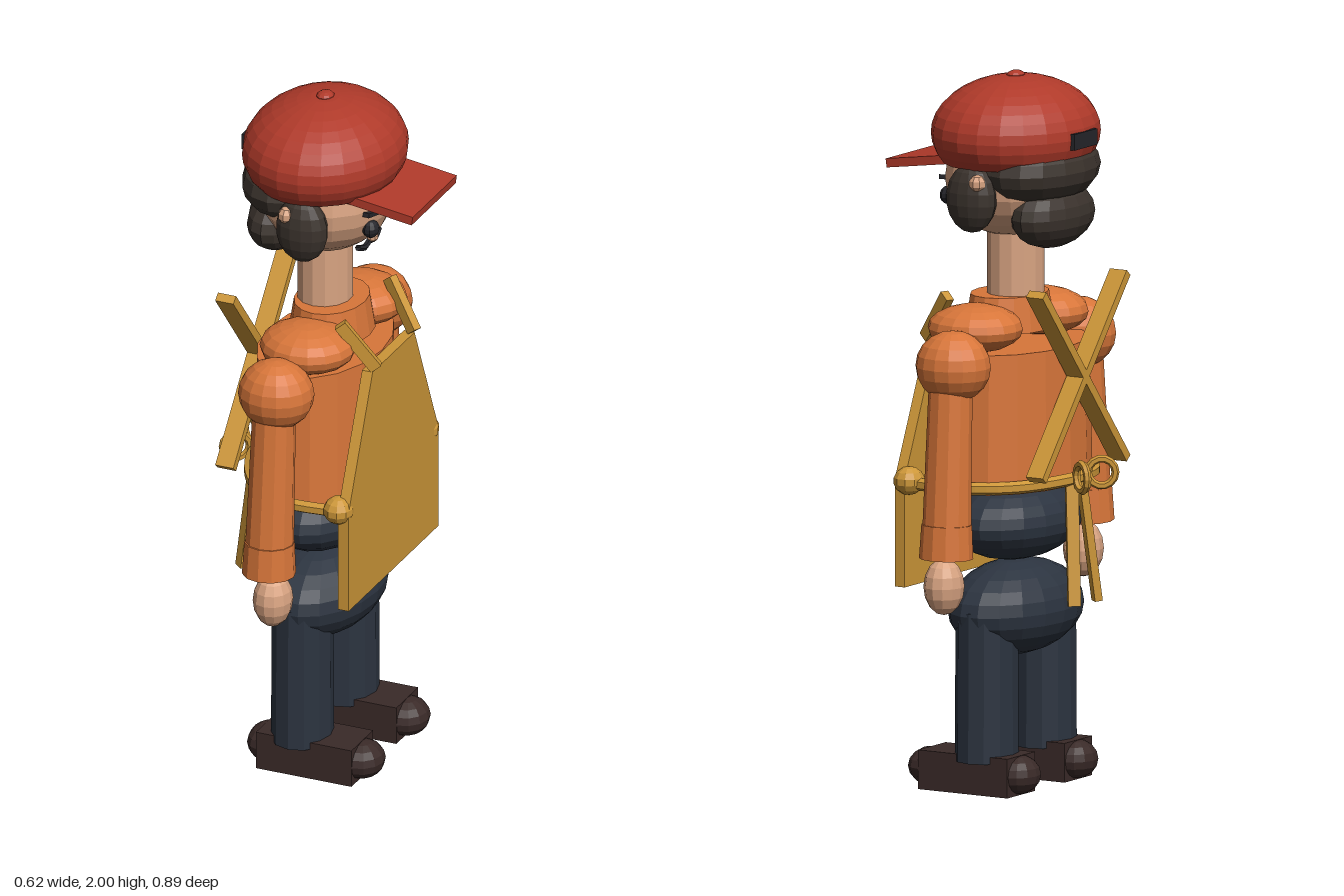
import * as THREE from 'three';

const mat = (color) => new THREE.MeshStandardMaterial({ color, flatShading: true, side: THREE.DoubleSide });
const red = mat(0xb03a2a), orange = mat(0xd8763a), navy = mat(0x2c3440), tan = mat(0xcc9638);
const skin = mat(0xd9a482), hair = mat(0x3b332d), leather = mat(0x3a2a28), dark = mat(0x25252a);
const V = (x, y, z) => new THREE.Vector3(x, y, z);

export function createModel() {
  const model = new THREE.Group();
  const add = (name, geo, m, x = 0, y = 0, z = 0) => {
    const mesh = new THREE.Mesh(geo, m);
    mesh.name = name;
    mesh.position.set(x, y, z);
    model.add(mesh);
    return mesh;
  };
  // Ellipsoid with centre and radii
  const ball = (name, m, x, y, z, rx, ry, rz, seg = 16) =>
    add(name, new THREE.SphereGeometry(1, seg, Math.round(seg * 0.65)).scale(rx, ry, rz), m, x, y, z);
  // Bar with a rectangular section between two points
  const bar = (name, m, a, b, w, h) => {
    const mesh = add(name, new THREE.BoxGeometry(w, h, a.distanceTo(b)), m);
    mesh.position.copy(a).add(b).multiplyScalar(0.5);
    mesh.lookAt(b);
    return mesh;
  };
  // Tapered limb between two points
  const limb = (name, m, a, b, ra, rb, seg = 12) => {
    const mesh = add(name, new THREE.CylinderGeometry(ra, rb, a.distanceTo(b), seg), m);
    mesh.position.copy(a).add(b).multiplyScalar(0.5);
    mesh.quaternion.setFromUnitVectors(V(0, 1, 0), a.clone().sub(b).normalize());
    return mesh;
  };
  const tube = (name, m, pts, r, n = 24) =>
    add(name, new THREE.TubeGeometry(new THREE.CatmullRomCurve3(pts), n, r, 6), m);

  // Cap with visor, button and back strap (the figure faces +x)
  const crown = new THREE.SphereGeometry(1, 22, 12, 0, Math.PI * 2, 0, Math.PI * 0.67).scale(0.225, 0.158, 0.26);
  add('capCrown', crown, red, -0.025, 1.83, 0);
  ball('capButton', red, -0.025, 1.985, 0, 0.025, 0.015, 0.03, 10);
  bar('capVisor', red, V(0.09, 1.76, 0), V(0.305, 1.73, 0), 0.295, 0.025);
  add('capStrap', new THREE.BoxGeometry(0.025, 0.045, 0.12), dark, -0.24, 1.825, 0);

  // Head and face
  ball('head', skin, -0.02, 1.705, 0, 0.19, 0.17, 0.2, 18);
  ball('backHair', hair, -0.105, 1.735, 0, 0.145, 0.105, 0.215);
  ball('napeHair', hair, -0.145, 1.608, 0, 0.09, 0.093, 0.17);
  ball('nose', skin, 0.118, 1.583, 0, 0.018, 0.015, 0.015, 8);
  tube('mouth', dark, [V(0.105, 1.575, 0.07), V(0.11, 1.563, 0.035), V(0.108, 1.567, 0),
    V(0.11, 1.563, -0.035), V(0.105, 1.575, -0.07)], 0.009, 12);

  // Neck, collar and torso
  add('neck', new THREE.CylinderGeometry(0.077, 0.077, 0.22, 14).scale(1, 1, 1.1), skin, -0.025, 1.46, 0);
  add('collar', new THREE.CylinderGeometry(0.1, 0.115, 0.1, 16).scale(1, 1, 1.3), orange, -0.005, 1.328, 0);
  add('torso', new THREE.CylinderGeometry(0.172, 0.18, 0.39, 16).scale(1, 1, 1.55), orange, -0.025, 1.045, 0);

  // Hips
  ball('waist', navy, -0.025, 0.745, 0, 0.16, 0.112, 0.24, 18);
  ball('hips', navy, -0.025, 0.5, 0, 0.16, 0.133, 0.25, 18);

  for (const s of [1, -1]) {
    // Face sides
    ball('eye', dark, 0.147, 1.645, s * 0.075, 0.024, 0.026, 0.027, 10);
    bar('eyebrow', dark, V(0.155, 1.688, s * 0.045), V(0.147, 1.7, s * 0.108), 0.02, 0.013);
    ball('sideHair', hair, -0.005, 1.668, s * 0.2, 0.077, 0.097, 0.05, 14);
    ball('ear', skin, -0.04, 1.715, s * 0.225, 0.025, 0.025, 0.025, 8);

    // Shoulder and arm
    ball('shoulderPad', orange, 0, 1.3, s * 0.172, 0.135, 0.067, 0.127);
    ball('shoulder', orange, -0.025, 1.217, s * 0.328, 0.107, 0.1, 0.1);
    limb('arm', orange, V(-0.025, 1.2, s * 0.34), V(-0.028, 0.75, s * 0.367), 0.06, 0.068);
    limb('cuff', orange, V(-0.028, 0.78, s * 0.367), V(-0.028, 0.685, s * 0.37), 0.07, 0.075);
    ball('hand', skin, -0.018, 0.605, s * 0.365, 0.055, 0.08, 0.062, 12);

    // Leg and shoe
    add('leg', new THREE.CylinderGeometry(0.083, 0.085, 0.42, 12).scale(1, 1, 1.15), navy, -0.025, 0.3, s * 0.152);
    add('shoe', new THREE.BoxGeometry(0.29, 0.11, 0.145), leather, 0.01, 0.055, s * 0.15);
    ball('shoeToe', leather, 0.155, 0.056, s * 0.15, 0.064, 0.054, 0.071, 12);
    ball('shoeHeel', leather, -0.13, 0.056, s * 0.15, 0.056, 0.054, 0.07, 12);

    // Apron straps, crossing at the back
    bar('frontStrap', tan, V(0.095, 1.38, s * 0.165), V(0.187, 1.25, s * 0.127), 0.025, 0.035);
    bar('backStrap', tan, V(-0.2275, 1.42, s * 0.22), V(-0.2275, 0.9, -s * 0.22), 0.055, 0.025);

    // Apron tie with knot, bow loop and tail
    ball('tieKnot', tan, 0.145, 0.875, s * 0.285, 0.043, 0.04, 0.046, 10);
    const loop = add('bowLoop', new THREE.TorusGeometry(0.038, 0.011, 6, 14), tan, -0.272, 0.887, s * 0.052);
    loop.rotation.y = s * 0.6;
    bar('bowTail', tan, V(-0.222, 0.87, s * 0.025), V(-0.252, 0.525, s * 0.06), 0.035, 0.022);
  }

  // Waist tie running around the back
  tube('waistTie', tan, [V(0.145, 0.868, 0.285), V(-0.02, 0.868, 0.288), V(-0.155, 0.87, 0.2), V(-0.225, 0.875, 0),
    V(-0.155, 0.87, -0.2), V(-0.02, 0.868, -0.288), V(0.145, 0.868, -0.285)], 0.018, 36);

  // Apron panel
  const outline = [[-0.14, 1.24], [-0.3, 0.88], [-0.3, 0.577], [0.3, 0.577], [0.3, 0.88], [0.14, 1.24]];
  const panel = new THREE.Shape(outline.map(([u, v]) => new THREE.Vector2(u, v)));
  const apron = add('apron', new THREE.ExtrudeGeometry(panel, { depth: 0.032, bevelEnabled: false }), tan, 0.15, 0, 0);
  apron.rotation.y = Math.PI / 2;

  return model;
}
